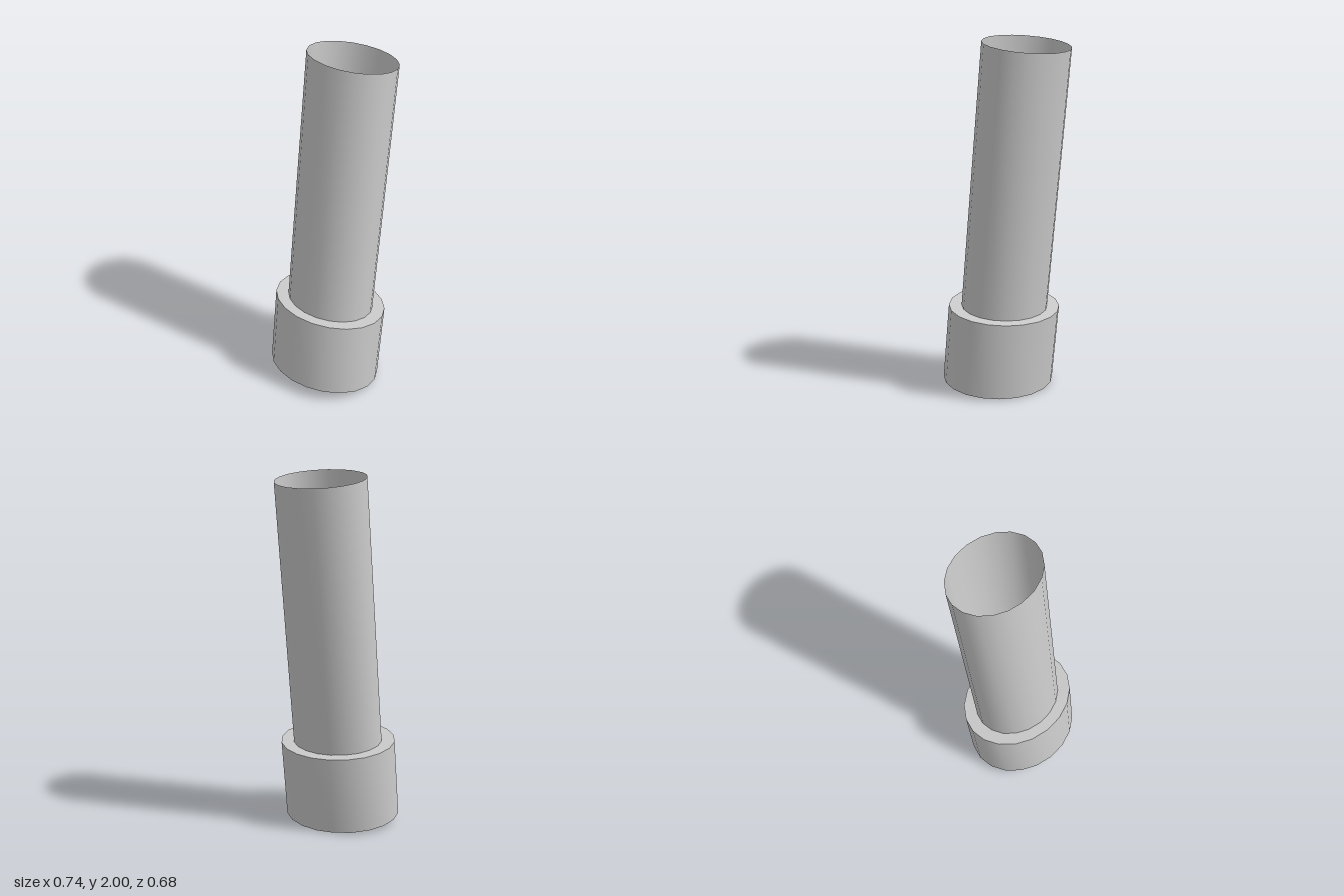
import * as THREE from 'three';

const SIDES = 20;
const material = new THREE.MeshStandardMaterial({ color: 0xcccccc, side: THREE.DoubleSide });

// Tilted elliptical rings: left end (x0, y0), right end (x1, y1), half depth in z
const rings = {
  collarBottom: { x0: -0.368, y0: 0.073, x1: 0.199, y1: 0, depth: 0.338 },
  boreBottom: { x0: -0.307, y0: 0.065, x1: 0.139, y1: 0.008, depth: 0.262 },
  collarTop: { x0: -0.314, y0: 0.514, x1: 0.252, y1: 0.441, depth: 0.338 },
  tubeBottom: { x0: -0.25, y0: 0.506, x1: 0.19, y1: 0.449, depth: 0.262 },
  tubeTop: { x0: -0.069, y0: 2, x1: 0.367, y1: 1.93, depth: 0.262 },
};

// Smooth band of surface between two rings
function band(name, from, to) {
  const positions = [], index = [];
  for (let i = 0; i <= SIDES; i++) {
    const a = (i / SIDES) * Math.PI * 2;
    for (const r of [from, to]) {
      const t = (1 + Math.cos(a)) / 2;
      positions.push(
        THREE.MathUtils.lerp(r.x0, r.x1, t),
        THREE.MathUtils.lerp(r.y0, r.y1, t),
        -Math.sin(a) * r.depth
      );
    }
    if (i < SIDES) {
      const k = i * 2;
      index.push(k, k + 2, k + 1, k + 2, k + 3, k + 1);
    }
  }
  const geometry = new THREE.BufferGeometry();
  geometry.setAttribute('position', new THREE.Float32BufferAttribute(positions, 3));
  geometry.setIndex(index);
  geometry.computeVertexNormals();

  // Share the normals across the seam
  const n = geometry.attributes.normal;
  for (const k of [0, 1]) {
    const end = SIDES * 2 + k;
    const v = new THREE.Vector3().fromBufferAttribute(n, k)
      .add(new THREE.Vector3().fromBufferAttribute(n, end)).normalize();
    n.setXYZ(k, v.x, v.y, v.z);
    n.setXYZ(end, v.x, v.y, v.z);
  }
  const mesh = new THREE.Mesh(geometry, material);
  mesh.name = name;
  return mesh;
}

export function createModel() {
  const model = new THREE.Group();
  model.name = 'leaningPipe';

  // Hollow collar: outer wall with a flat ring at each end
  const collar = new THREE.Group();
  collar.name = 'collar';
  collar.add(
    band('collarWall', rings.collarBottom, rings.collarTop),
    band('collarTopRing', rings.collarTop, rings.tubeBottom),
    band('collarBottomRing', rings.boreBottom, rings.collarBottom)
  );

  // Open thin-walled tube rising from the collar
  model.add(collar, band('tube', rings.tubeBottom, rings.tubeTop));
  return model;
}
